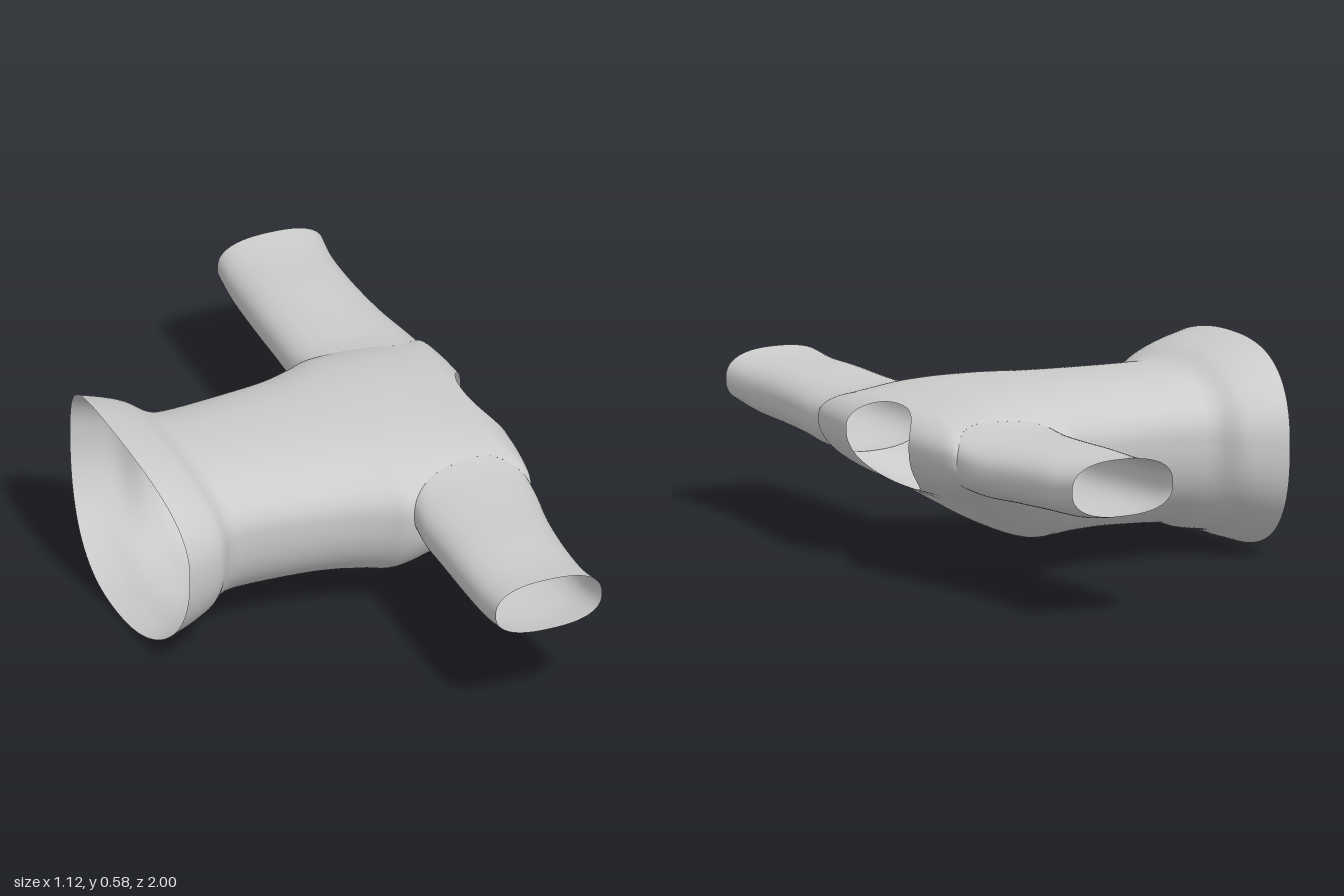
import * as THREE from 'three';

const material = new THREE.MeshStandardMaterial({ color: 0xcccccc, side: THREE.DoubleSide });
const N = 2.3;          // squareness of the body sections
const SN = 2.5;         // squareness of the sleeve sections
const spow = (v, e) => Math.sign(v) * Math.abs(v) ** e;

// Body sections from hem to neck: x at side, x at top, x at bottom, half width, low y, high y, y of widest point
const BODY = [
  [-0.51, -0.56, -0.55, 0.43, 0.005, 0.59, 0.34],
  [-0.45, -0.49, -0.49, 0.41, 0.025, 0.572, 0.34],
  [-0.39, -0.43, -0.43, 0.38, 0.05, 0.55, 0.34],
  [-0.34, -0.37, -0.36, 0.32, 0.06, 0.518, 0.35],
  [-0.28, -0.30, -0.28, 0.306, 0.08, 0.513, 0.355],
  [-0.10, -0.10, -0.10, 0.325, 0.088, 0.514, 0.36],
  [0.01, 0.01, 0.01, 0.343, 0.085, 0.516, 0.36],
  [0.10, 0.09, 0.09, 0.375, 0.08, 0.518, 0.36],
  [0.17, 0.16, 0.15, 0.41, 0.082, 0.517, 0.36],
  [0.26, 0.25, 0.23, 0.415, 0.115, 0.516, 0.365],
  [0.35, 0.33, 0.31, 0.415, 0.16, 0.51, 0.37],
  [0.43, 0.39, 0.365, 0.415, 0.195, 0.498, 0.37],
  [0.49, 0.43, 0.40, 0.41, 0.213, 0.488, 0.375],
  [0.53, 0.46, 0.42, 0.39, 0.224, 0.482, 0.38],
  [0.548, 0.477, 0.436, 0.29, 0.23, 0.478, 0.385],
  [0.556, 0.49, 0.45, 0.18, 0.235, 0.475, 0.385],
];
// Sleeve sections from shoulder to cuff: z, x range, y range
const SLEEVE = [
  [0.40, 0.172, 0.524, 0.272, 0.465],
  [0.48, 0.166, 0.518, 0.268, 0.455],
  [0.60, 0.166, 0.497, 0.272, 0.453],
  [0.75, 0.165, 0.482, 0.277, 0.455],
  [0.90, 0.167, 0.48, 0.285, 0.455],
  [1.00, 0.17, 0.488, 0.305, 0.465],
];

// Smooth interpolation through the rows of a section table
function sample(rows, u) {
  const i = Math.min(Math.floor(u), rows.length - 2), t = u - i;
  const row = k => rows[Math.max(0, Math.min(rows.length - 1, k))];
  return rows[0].map((_, c) => {
    const a = row(i - 1)[c], b = row(i)[c], d = row(i + 1)[c], e = row(i + 2)[c];
    return b + 0.5 * t * (d - a + t * (2 * a - 5 * b + 4 * d - e + t * (3 * (b - d) + e - a)));
  });
}

function bodyPoint(u, angle) {
  const [xs, xt, xb, w, lo, hi, mid] = sample(BODY, u);
  const s = Math.sin(angle), c = Math.cos(angle);
  return [
    xs + ((s > 0 ? xt : xb) - xs) * s * s,
    mid + (s > 0 ? hi - mid : mid - lo) * spow(s, 2 / N),
    w * spow(c, 2 / N),
  ];
}

// Distance of the body's side wall from the middle at a given x and y
function sideDepth(x, y) {
  let s = 0, z = 0;
  for (let k = 0; k < 8; k++) {
    let a = 0, b = BODY.length - 1;
    for (let j = 0; j < 24; j++) {
      const m = (a + b) / 2, [xs, xt, xb] = sample(BODY, m);
      if (xs + ((s > 0 ? xt : xb) - xs) * s * s < x) a = m; else b = m;
    }
    const [, , , w, lo, hi, mid] = sample(BODY, a);
    const r = Math.min(1, Math.abs(y - mid) / (y > mid ? hi - mid : mid - lo));
    s = Math.sign(y - mid) * r ** (N / 2);
    z = w * (1 - r ** N) ** (1 / N);
  }
  return z;
}

// Armhole: below 1 is inside the sleeve root
const [, X0, X1, Y0, Y1] = SLEEVE[0];
const CX = (X0 + X1) / 2, CY = (Y0 + Y1) / 2;
const armhole = (x, y) => (Math.abs(x - CX) / (X1 - CX)) ** SN + (Math.abs(y - CY) / (Y1 - CY)) ** SN;

// Tube surface from rings of points; quads for which skip() holds are left out
function tube(name, points, rings, sides, skip = () => false, flip = false) {
  const index = [];
  for (let i = 0; i < rings; i++) {
    for (let j = 0; j < sides; j++) {
      const k = (j + 1) % sides;
      const a = i * sides + j, b = i * sides + k, c = a + sides, d = b + sides;
      if (skip([a, b, c, d])) continue;
      if (flip) index.push(a, c, b, b, c, d);
      else index.push(a, b, c, b, d, c);
    }
  }
  const geometry = new THREE.BufferGeometry();
  geometry.setAttribute('position', new THREE.Float32BufferAttribute(points.flat(), 3));
  geometry.setIndex(index);
  geometry.computeVertexNormals();
  const mesh = new THREE.Mesh(geometry, material);
  mesh.name = name;
  return mesh;
}

// Body with flared hem, open neck and two open armholes
function makeBody() {
  const rings = 120, sides = 120, points = [], inside = [];
  for (let i = 0; i <= rings; i++) {
    for (let j = 0; j < sides; j++) {
      const p = bodyPoint(i / rings * (BODY.length - 1), j / sides * Math.PI * 2);
      points.push(p);
      inside.push(Math.abs(p[2]) > 0.25 && armhole(p[0], p[1]) < 1);
    }
  }
  // Move the points just inside each armhole onto its edge
  const edged = points.map((p, k) => {
    if (!inside[k]) return p;
    const f = Math.max(armhole(p[0], p[1]), 1e-3) ** (-1 / SN);
    const x = CX + (p[0] - CX) * f, y = CY + (p[1] - CY) * f;
    return [x, y, Math.sign(p[2]) * sideDepth(x, y)];
  });
  return tube('body', edged, rings, sides, quad => quad.every(k => inside[k]), true);
}

// Sleeve that starts on the armhole edge and ends in an open cuff
function makeSleeve(name, side) {
  const rings = 40, sides = 72, points = [];
  const root = [];
  for (let i = 0; i <= rings; i++) {
    const [z, x0, x1, y0, y1] = sample(SLEEVE, i / rings * (SLEEVE.length - 1));
    for (let j = 0; j < sides; j++) {
      const a = j / sides * Math.PI * 2;
      const x = (x0 + x1) / 2 + (x1 - x0) / 2 * spow(Math.cos(a), 2 / SN);
      const y = (y0 + y1) / 2 + (y1 - y0) / 2 * spow(Math.sin(a), 2 / SN);
      if (i === 0) root.push(sideDepth(x, y));
      points.push([x, y, side * (root[j] + (z - 0.4) / 0.6 * (1 - root[j]))]);
    }
  }
  return tube(name, points, rings, sides, undefined, side < 0);
}

export function createModel() {
  const group = new THREE.Group();
  group.name = 'shirt';
  group.add(makeBody(), makeSleeve('frontSleeve', 1), makeSleeve('backSleeve', -1));
  return group;
}
